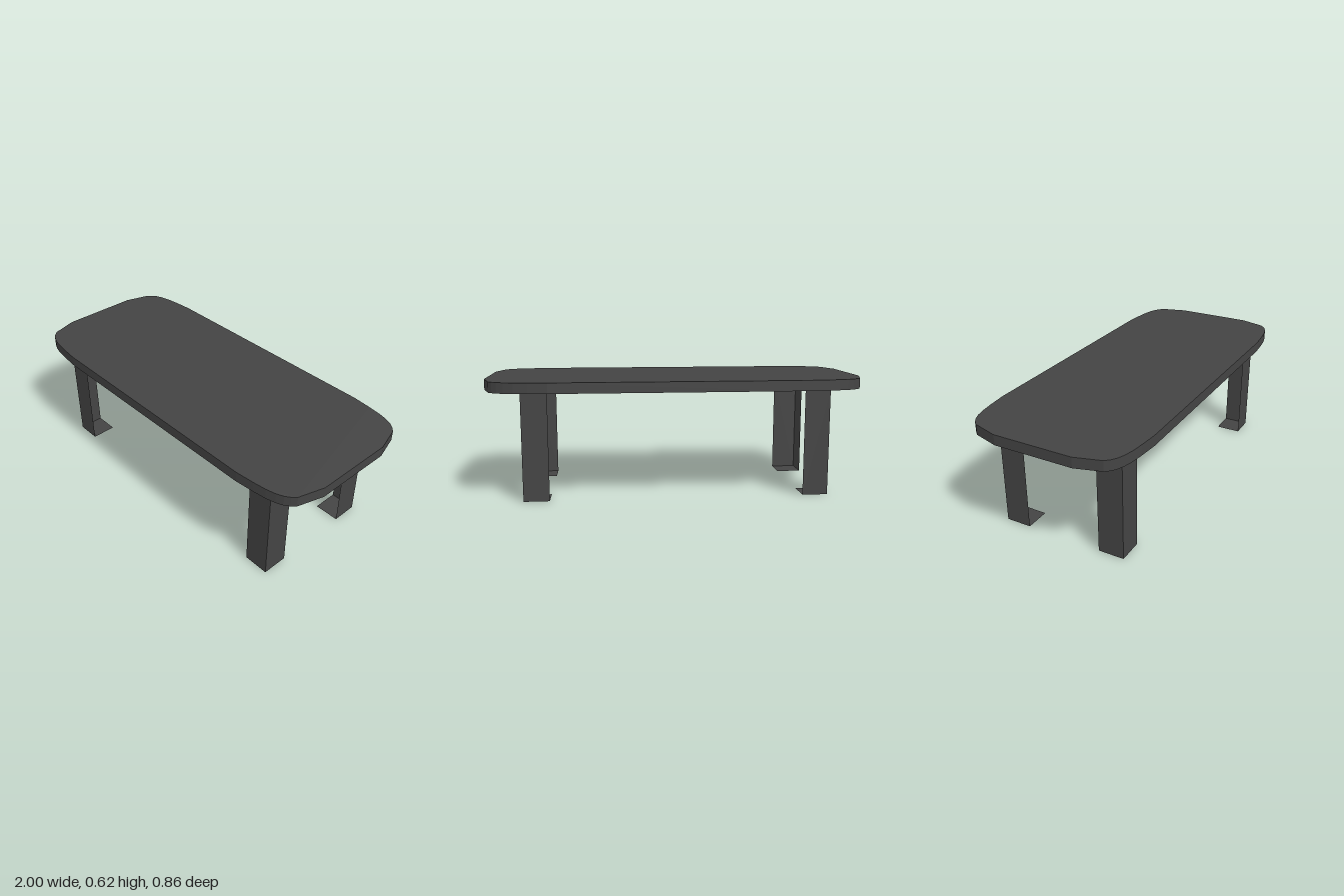
import * as THREE from 'three';

const LEG_H = 0.57, TOP_Y = 0.625;
const LEG = { x0: 0.67, x1: 0.805, z0: 0.207, z1: 0.345 };

// One corner of the table top, from the short end round to the long side
const CORNER = [
  [1, 0.21], [0.96, 0.345], [0.94, 0.367], [0.915, 0.385], [0.88, 0.4],
  [0.83, 0.412], [0.76, 0.421], [0.66, 0.43],
];

function createTop(material) {
  const mirrored = [...CORNER].reverse();
  const outline = [
    ...CORNER,
    ...mirrored.map(([x, z]) => [-x, z]),
    ...CORNER.map(([x, z]) => [-x, -z]),
    ...mirrored.map(([x, z]) => [x, -z]),
  ].map(([x, z]) => new THREE.Vector2(x, z));
  const geometry = new THREE.ExtrudeGeometry(new THREE.Shape(outline), {
    depth: TOP_Y - LEG_H, bevelEnabled: false,
  });
  geometry.rotateX(-Math.PI / 2).translate(0, LEG_H, 0);
  const top = new THREE.Mesh(geometry, material);
  top.name = 'tableTop';
  return top;
}

// Each leg is an open corner: two outward panels and a foot plate
function createLeg(sx, sz, material) {
  const leg = new THREE.Group();
  leg.name = (sz > 0 ? 'front' : 'back') + (sx > 0 ? 'Left' : 'Right') + 'Leg';
  const w = LEG.x1 - LEG.x0, d = LEG.z1 - LEG.z0;
  const cx = sx * (LEG.x0 + LEG.x1) / 2, cz = sz * (LEG.z0 + LEG.z1) / 2;

  const add = (name, geometry, x, y, z) => {
    const mesh = new THREE.Mesh(geometry.translate(x, y, z), material);
    mesh.name = name;
    leg.add(mesh);
  };
  add('sidePanel', new THREE.PlaneGeometry(d, LEG_H).rotateY(sx * Math.PI / 2),
    sx * LEG.x1, LEG_H / 2, cz);
  add('facePanel', new THREE.PlaneGeometry(w, LEG_H).rotateY(sz > 0 ? 0 : Math.PI),
    cx, LEG_H / 2, sz * LEG.z1);
  add('footPlate', new THREE.PlaneGeometry(w, d).rotateX(Math.PI / 2), cx, 0, cz);
  return leg;
}

export function createModel() {
  const table = new THREE.Group();
  table.name = 'table';
  const material = new THREE.MeshStandardMaterial({
    color: 0x444444, flatShading: true, side: THREE.DoubleSide,
  });
  table.add(createTop(material));
  for (const sx of [-1, 1]) for (const sz of [-1, 1]) table.add(createLeg(sx, sz, material));
  return table;
}
